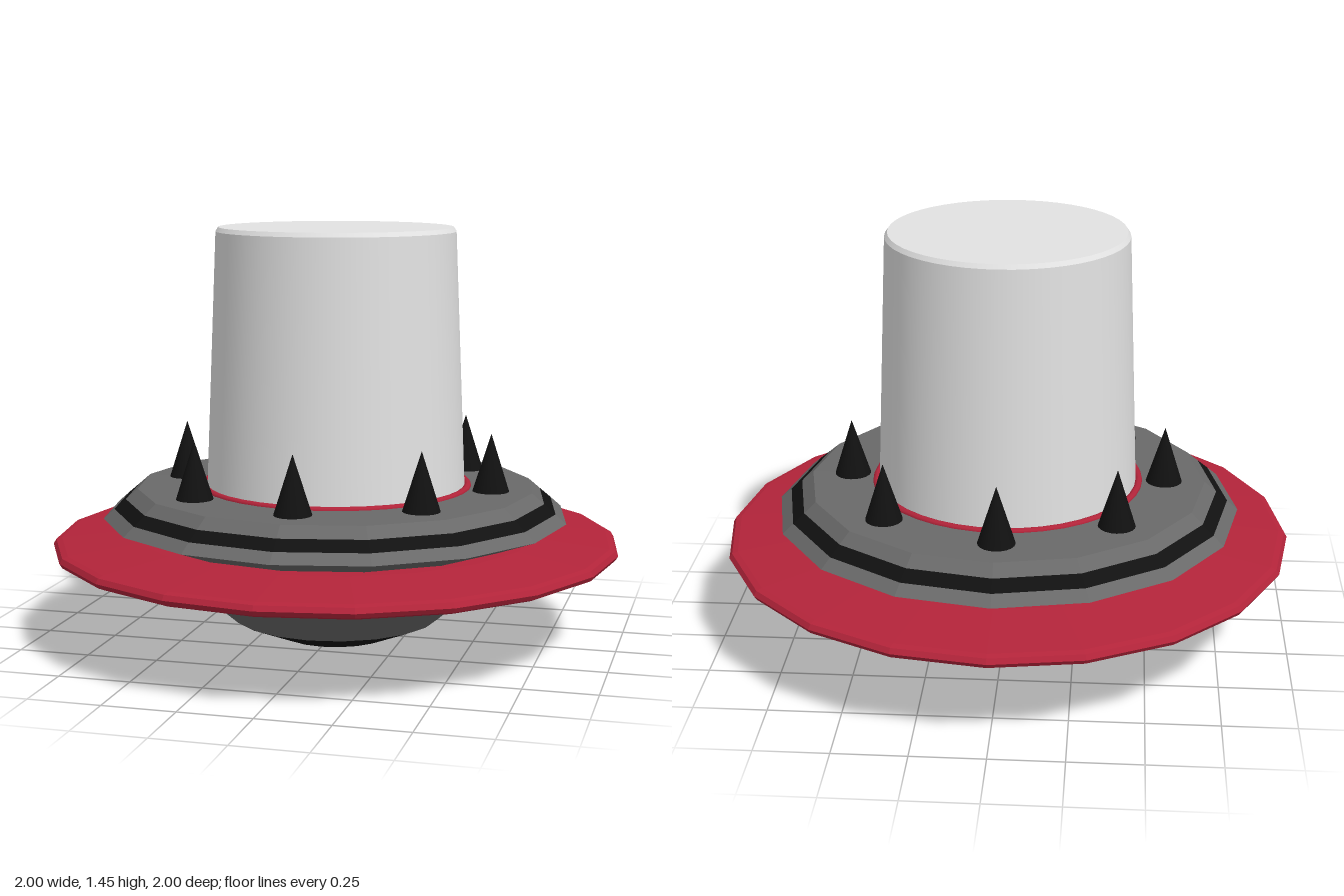
import * as THREE from 'three';

const mat = (name, color) => {
  const m = new THREE.MeshStandardMaterial({ color });
  m.name = name;
  return m;
};

export function createModel() {
  const group = new THREE.Group();
  const grey = mat('hull grey', 0x696969);
  const red = mat('crimson', 0xb3243a);
  const black = mat('black', 0x111111);
  const white = mat('dome white', 0xe2e2e2);
  const teal = mat('lens teal', 0x7fc4d4);

  const add = (name, geometry, material, parent = group) => {
    const mesh = new THREE.Mesh(geometry, material);
    mesh.name = name;
    parent.add(mesh);
    return mesh;
  };

  // Faceted surface of revolution from [radius, y] points, listed bottom to top on the outside
  const turned = (name, points, sides, material) => {
    const lathe = new THREE.LatheGeometry(points.map(([r, y]) => new THREE.Vector2(r, y)), sides);
    const flat = lathe.toNonIndexed();
    flat.computeVertexNormals();
    return add(name, flat, material);
  };

  // Recessed lens in the base
  const lens = add('lens', new THREE.CircleGeometry(0.19, 32), teal);
  lens.rotation.x = Math.PI / 2;
  lens.position.y = 0.05;
  turned('lensWall', [[0.19, 0.05], [0.19, 0]], 32, white);

  // Lower hull
  turned('baseRing', [[0.19, 0], [0.2, 0], [0.37, 0.07]], 20, black);
  turned('lowerHull', [[0.37, 0.07], [0.64, 0.305]], 20, grey);
  turned('underRing', [[0.61, 0.285], [0.68, 0.288], [0.68, 0.31]], 20, black);

  // Wide flange with a rounded rim
  turned('flange', [
    [0.6, 0.295], [0.97, 0.313], [0.99, 0.322], [1, 0.338],
    [0.99, 0.355], [0.97, 0.361], [0.72, 0.385], [0.6, 0.39],
  ], 20, red);

  // Upper deck with a black stripe on its slope
  turned('deckUnderside', [[0.66, 0.38], [0.82, 0.44]], 16, grey);
  turned('deckLowerSlope', [[0.82, 0.44], [0.782, 0.473]], 16, grey);
  turned('deckStripe', [[0.782, 0.473], [0.742, 0.507]], 16, black);
  turned('deckUpperSlope', [[0.742, 0.507], [0.7, 0.543]], 16, grey);
  turned('deckTop', [[0.7, 0.543], [0.4, 0.545]], 16, grey);

  // Tall dome with a small bevel
  add('dome', new THREE.CylinderGeometry(0.418, 0.456, 0.9, 48, 1, true), white).position.y = 0.985;
  add('domeBevel', new THREE.CylinderGeometry(0.408, 0.418, 0.015, 48, 1, true), white).position.y = 1.4425;
  const cap = add('domeCap', new THREE.CircleGeometry(0.408, 48), white);
  cap.rotation.x = -Math.PI / 2;
  cap.position.y = 1.45;

  // Red seal around the foot of the dome
  const seal = add('domeSeal', new THREE.TorusGeometry(0.466, 0.014, 8, 40), red);
  seal.rotation.x = Math.PI / 2;
  seal.position.y = 0.542;

  // Ring of spikes
  for (let i = 0; i < 8; i++) {
    const a = (i * Math.PI) / 4;
    const spike = add('spike', new THREE.ConeGeometry(0.065, 0.205, 20), black);
    spike.position.set(0.555 * Math.cos(a), 0.6425, -0.555 * Math.sin(a));
  }

  // Two ring ports lying on the lower hull
  for (const angle of [0, (2 * Math.PI) / 3]) {
    const port = new THREE.Group();
    port.name = 'port';
    port.rotation.y = angle;
    const geometry = new THREE.TorusGeometry(0.06, 0.028, 10, 24);
    geometry.rotateY(Math.PI / 2).rotateZ(-0.85);
    add('portRing', geometry, red, port).position.set(0.542, 0.212, 0);
    group.add(port);
  }

  return group;
}
